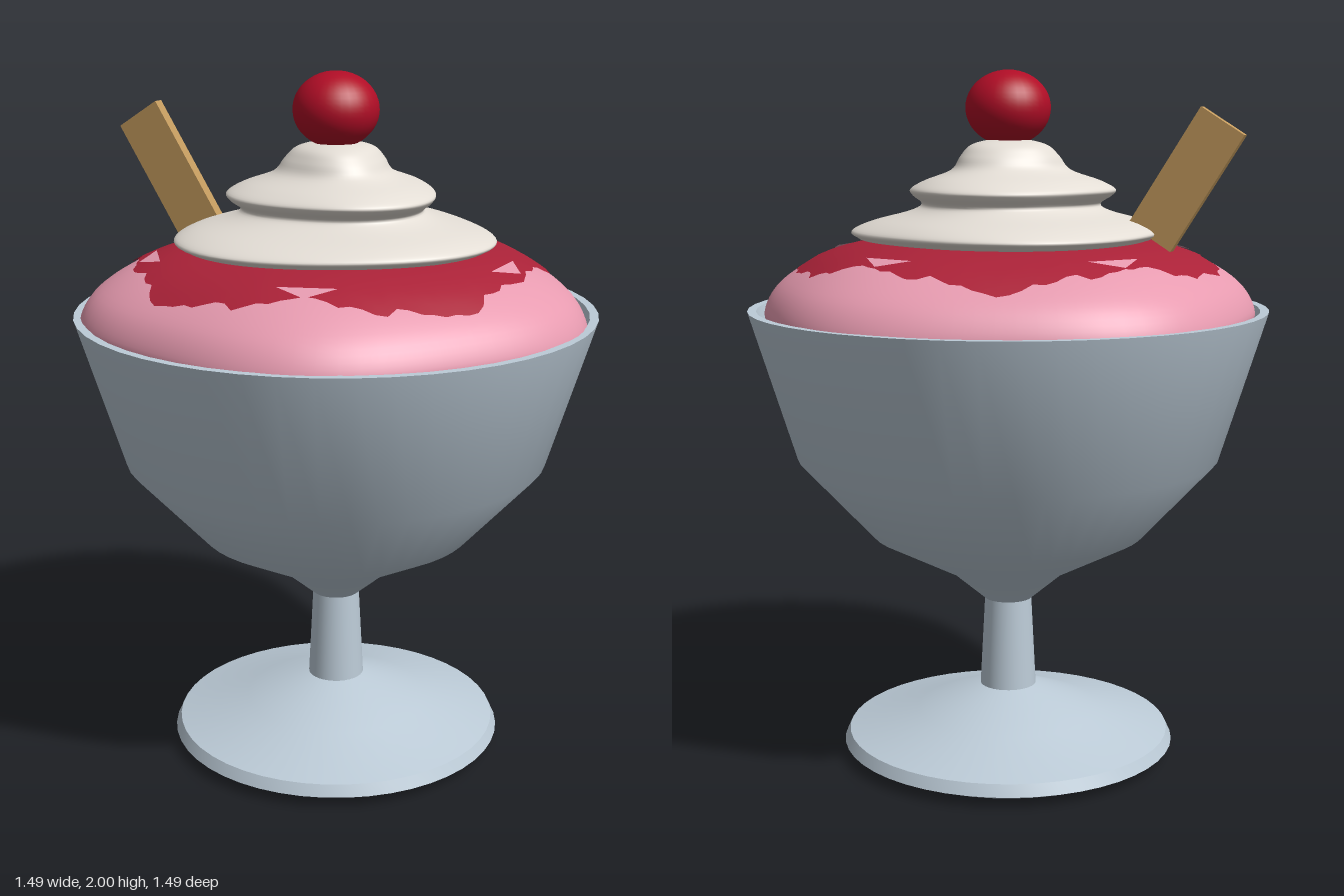
import * as THREE from 'three';
import { mergeVertices, toCreasedNormals } from 'three/addons/utils/BufferGeometryUtils.js';

const mat = (name, color, side = THREE.FrontSide) => {
  const m = new THREE.MeshStandardMaterial({ color, side });
  m.name = name;
  return m;
};
const vecs = (list) => list.map(([x, y]) => new THREE.Vector2(x, y));

// Lathe with sharp edges kept
const turned = (list, segments = 48) =>
  toCreasedNormals(new THREE.LatheGeometry(vecs(list), segments), 0.6);

// Lathe whose radius is scaled by a rule of angle and height
function wobbled(points, segments, rule) {
  let g = new THREE.LatheGeometry(points, segments);
  const p = g.attributes.position;
  for (let i = 0; i < p.count; i++) {
    const x = p.getX(i), y = p.getY(i), z = p.getZ(i);
    const s = rule(Math.atan2(z, x), y);
    p.setXYZ(i, x * s, y, z * s);
  }
  g.deleteAttribute('uv');
  g.deleteAttribute('normal');
  g = mergeVertices(g, 1e-5);
  g.computeVertexNormals();
  return g;
}

// Scoop profile, five soft lobes around, and a point on its surface
const scoopProfile = new THREE.SplineCurve(vecs([
  [0.66, 1.2], [0.7, 1.28], [0.705, 1.33], [0.66, 1.4], [0.56, 1.465],
  [0.45, 1.503], [0.33, 1.522], [0.18, 1.533], [0, 1.536],
])).getPoints(40);
const scoopLobes = (a) => 1 + 0.027 * Math.cos(5 * a);

function scoopHeight(r) {
  for (let i = scoopProfile.length - 1; i > 0; i--) {
    const a = scoopProfile[i], b = scoopProfile[i - 1];
    if (r <= b.x) return THREE.MathUtils.mapLinear(r, a.x, b.x, a.y, b.y);
  }
  return 1.33;
}
const onScoop = (a, r, lift) =>
  [r * Math.cos(a), scoopHeight(r / scoopLobes(a)) + lift, r * Math.sin(a)];

// Ragged ring of sauce lying on the scoop
function sauceGeometry() {
  const around = 120, across = 8, pos = [], index = [];
  for (let i = 0; i <= around; i++) {
    const a = (i / around) * Math.PI * 2;
    const ragged = 0.01 * Math.sign(Math.sin(13 * a + 1)) + 0.008 * Math.sin(29 * a);
    const edge = 0.58 - 0.022 * Math.cos(5 * a) + ragged;
    for (let j = 0; j <= across; j++) {
      pos.push(...onScoop(a, THREE.MathUtils.lerp(0.3, edge, j / across), 0.006));
      if (i < around && j < across) {
        const k = i * (across + 1) + j, n = k + across + 1;
        index.push(k, n, k + 1, k + 1, n, n + 1);
      }
    }
  }
  const g = new THREE.BufferGeometry();
  g.setAttribute('position', new THREE.Float32BufferAttribute(pos, 3));
  g.setIndex(index);
  g.computeVertexNormals();
  return g;
}

// Small bare patch where the scoop shows through the sauce
function patchGeometry(a) {
  const g = new THREE.BufferGeometry();
  g.setAttribute('position', new THREE.Float32BufferAttribute([
    ...onScoop(a - 0.16, 0.508, 0.011),
    ...onScoop(a + 0.16, 0.508, 0.011),
    ...onScoop(a, 0.556, 0.011),
  ], 3));
  g.computeVertexNormals();
  return g;
}

export function createModel() {
  const group = new THREE.Group();
  const glass = mat('pale blue glass', 0xbccbd7);
  const pink = mat('strawberry pink', 0xe79bb0);
  const pinkPatch = mat('strawberry pink patch', 0xe79bb0, THREE.DoubleSide);
  const sauceRed = mat('sauce red', 0xab2238, THREE.DoubleSide);
  const white = mat('whipped white', 0xe3ddd5);
  const cherryRed = mat('cherry red', 0xb00d26);
  const tan = mat('wafer tan', 0xc49b5e);

  const add = (name, geometry, material) => {
    const m = new THREE.Mesh(geometry, material);
    m.name = name;
    group.add(m);
    return m;
  };

  // Glass: foot, stem and hollow bowl
  add('foot', turned([
    [0, 0.005], [0.42, 0.005], [0.49, 0.037], [0.475, 0.07], [0.27, 0.125], [0.08, 0.2], [0, 0.2],
  ]), glass);
  add('stem', new THREE.CylinderGeometry(0.068, 0.083, 0.29, 32, 1, true).translate(0, 0.335, 0), glass);
  add('bowl', turned([
    [0, 0.465], [0.07, 0.465], [0.17, 0.55], [0.4, 0.67], [0.612, 0.9], [0.745, 1.33],
    [0.72, 1.33], [0.585, 0.91], [0.38, 0.7], [0, 0.56],
  ]), glass);

  // Ice cream and sauce
  add('iceCream', wobbled(scoopProfile, 80, scoopLobes), pink);
  add('sauce', sauceGeometry(), sauceRed);
  for (let i = 0; i < 5; i++) {
    add('saucePatch', patchGeometry((i * Math.PI * 2) / 5), pinkPatch);
  }

  // Whipped cream: two swirled tiers, twisting with height
  const creamProfile = new THREE.SplineCurve(vecs([
    [0, 1.52], [0.36, 1.52], [0.43, 1.533], [0.442, 1.55], [0.39, 1.575], [0.29, 1.603],
    [0.255, 1.625], [0.285, 1.65], [0.292, 1.668], [0.25, 1.692], [0.17, 1.722],
    [0.14, 1.76], [0.11, 1.79], [0.06, 1.805], [0, 1.81],
  ])).getPoints(70);
  add('whippedCream', wobbled(creamProfile, 72,
    (a, y) => 1 + 0.05 * Math.cos(3 * (a - 0.12 - 3.8 * (y - 1.55)))), white);

  // Cherry
  add('cherry', new THREE.SphereGeometry(0.121, 32, 24).scale(1, 0.87, 1).translate(0, 1.895, 0), cherryRed);

  // Wafer stick leaning out over the rim
  const wafer = add('wafer', new THREE.BoxGeometry(0.145, 0.38, 0.032), tan);
  wafer.position.set(-0.51, 1.698, 0.047);
  wafer.rotation.z = 0.56;

  return group;
}
